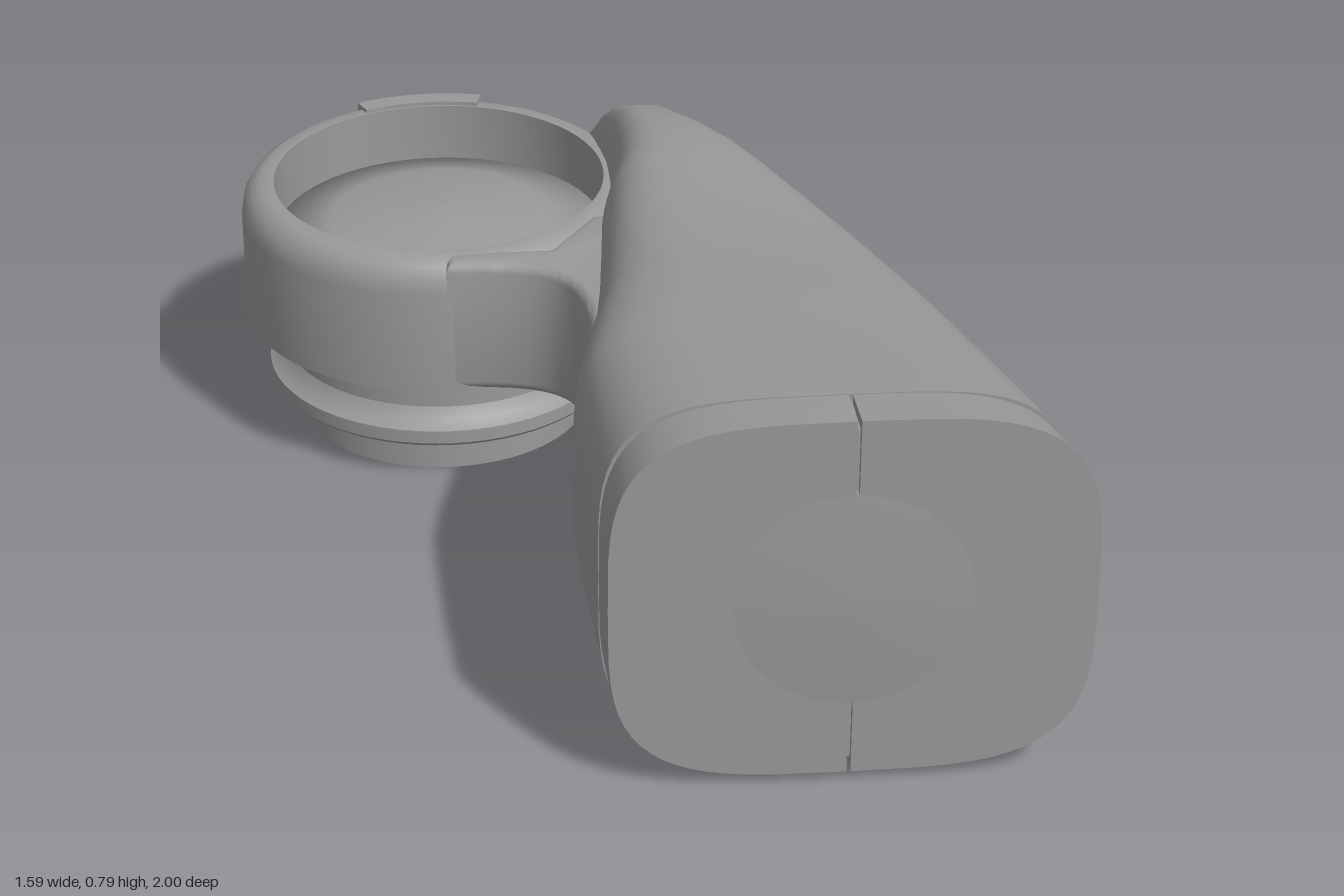
import * as THREE from 'three';
import { toCreasedNormals } from 'three/addons/utils/BufferGeometryUtils.js';

const SIDES = 64;
const CX = -0.367, CZ = -0.568; // socket axis

// Arm stations: z, left x, right x, bottom y, top y
const STATIONS = [
  [-0.78, -0.04, 0.02, 0.27, 0.54],
  [-0.75, -0.03, 0.05, 0.225, 0.575],
  [-0.72, -0.02, 0.077, 0.185, 0.615],
  [-0.67, -0.01, 0.12, 0.145, 0.655],
  [-0.60, 0.0, 0.178, 0.12, 0.685],
  [-0.50, 0.0, 0.25, 0.105, 0.70],
  [-0.40, -0.01, 0.31, 0.10, 0.71],
  [-0.30, -0.035, 0.365, 0.095, 0.71],
  [-0.15, -0.05, 0.438, 0.09, 0.705],
  [0.0, -0.065, 0.503, 0.095, 0.705],
  [0.15, -0.085, 0.558, 0.09, 0.71],
  [0.30, -0.12, 0.607, 0.075, 0.725],
  [0.42, -0.145, 0.643, 0.065, 0.735],
  [0.50, -0.155, 0.665, 0.06, 0.74],
  [0.70, -0.146, 0.719, 0.045, 0.757],
  [0.876, -0.136, 0.761, 0.03, 0.773],
];
const CAP = [
  [0.881, -0.135, 0.762, 0.03, 0.774],
  [0.96, -0.131, 0.78, 0.024, 0.781],
  [1.0, -0.128, 0.79, 0.02, 0.785],
];

// Rounded-square ring, optionally limited in x
function ring([z, xl, xr, yb, yt], power, min = -9, max = 9) {
  const pts = [];
  const bend = (v) => Math.sign(v) * Math.pow(Math.abs(v), 2 / power);
  for (let j = 0; j < SIDES; j++) {
    const a = (j / SIDES) * Math.PI * 2;
    const x = (xl + xr) / 2 + ((xr - xl) / 2) * bend(Math.cos(a));
    const y = (yb + yt) / 2 + ((yt - yb) / 2) * bend(Math.sin(a));
    pts.push([Math.min(max, Math.max(min, x)), y, z]);
  }
  return pts;
}

// Skin over rings ordered from back to front, closed at both ends
function loft(rings) {
  const pos = rings.flat(2), idx = [];
  const n = SIDES, last = (rings.length - 1) * n;
  for (const r of [rings[0], rings[rings.length - 1]]) {
    for (let k = 0; k < 3; k++) pos.push(r.reduce((s, p) => s + p[k], 0) / n);
  }
  const c0 = rings.length * n, c1 = c0 + 1;
  for (let j = 0; j < n; j++) {
    const k = (j + 1) % n;
    for (let i = 0; i < rings.length - 1; i++) {
      const a = i * n + j, b = i * n + k;
      idx.push(a, b, b + n, a, b + n, a + n);
    }
    idx.push(c0, k, j, c1, last + j, last + k);
  }
  const g = new THREE.BufferGeometry();
  g.setAttribute('position', new THREE.Float32BufferAttribute(pos, 3));
  g.setIndex(idx);
  return toCreasedNormals(g, 0.7);
}

const smoothLathe = (profile) =>
  new THREE.LatheGeometry(profile.map(([x, y]) => new THREE.Vector2(x, y)), 64);
const lathe = (profile) => toCreasedNormals(smoothLathe(profile), 0.6);

// Plan outline (x, -z) raised from y0 to y1
function slab(shape, y0, y1, bevel = 0) {
  const g = new THREE.ExtrudeGeometry(shape, {
    depth: y1 - y0 - 2 * bevel, curveSegments: 40, bevelEnabled: bevel > 0,
    bevelThickness: bevel, bevelSize: bevel, bevelOffset: -bevel, bevelSegments: 3,
  });
  g.rotateX(-Math.PI / 2).translate(0, y0 + bevel, 0);
  return toCreasedNormals(g, 0.6);
}

export function createModel() {
  const group = new THREE.Group();
  const grey = new THREE.MeshStandardMaterial({ color: 0x999999 });
  grey.name = 'grey';
  const add = (name, geometry, x = 0, y = 0, z = 0) => {
    const mesh = new THREE.Mesh(geometry, grey);
    mesh.name = name;
    mesh.position.set(x, y, z);
    group.add(mesh);
  };
  const rad = THREE.MathUtils.degToRad;

  // Curved arm
  add('arm', loft(STATIONS.map((s, i) => ring(s, Math.min(4, 2.8 + i * 0.12)))));

  // End cap in two halves around a recessed core
  const seam = 0.33, gap = 0.004;
  add('leftCapHalf', loft(CAP.map((s) => ring(s, 3.7, seam + gap, 9))));
  add('rightCapHalf', loft(CAP.map((s) => ring(s, 3.7, -9, seam - gap))));
  add('capCore', loft([
    ring([0.84, -0.115, 0.735, 0.05, 0.755], 3.7),
    ring([0.985, -0.11, 0.765, 0.045, 0.76], 3.7),
  ]));

  // Round button on the end cap, softly shaded
  const button = new THREE.LatheGeometry(
    [[0.228, 0], [0.228, 0.012], [0, 0.016]].map(([x, y]) => new THREE.Vector2(x, y)), 20);
  button.rotateX(Math.PI / 2);
  add('button', button, seam, 0.403, 0.988);

  // Socket ring with a rounded rim
  add('socket', lathe([[0.34, 0.25], [0.432, 0.25], [0.432, 0.48], [0.427, 0.51],
    [0.412, 0.535], [0.388, 0.55], [0.36, 0.55], [0.36, 0.4]]), CX, 0, CZ);

  // Low domed plug set down inside the socket
  add('plug', smoothLathe([[0.36, 0.25], [0.36, 0.42], [0.24, 0.45], [0.12, 0.468], [0, 0.475]]),
    CX, 0, CZ);

  // Short raised lip at the back of the rim
  const lip = new THREE.Shape();
  lip.absarc(CX, -CZ, 0.41, rad(74), rad(114), false);
  lip.absarc(CX, -CZ, 0.365, rad(114), rad(74), true);
  add('rimLip', slab(lip, 0.53, 0.558));

  // Fillet joining socket and arm
  const web = new THREE.Shape();
  web.moveTo(-0.37, 0.137);
  web.bezierCurveTo(-0.15, 0.13, -0.09, 0.09, -0.088, -0.14);
  web.lineTo(0.1, -0.14);
  web.lineTo(0.1, 0.35);
  web.lineTo(-0.05, 0.35);
  web.lineTo(-0.15, 0.2);
  web.lineTo(-0.37, 0.2);
  add('fillet', slab(web, 0.25, 0.55, 0.02));

  // Neck and flange below the socket
  add('neck', lathe([[0.347, 0.1], [0.347, 0.26]]), CX, 0, CZ);
  add('flange', lathe([[0, 0.087], [0.378, 0.087], [0.385, 0.095], [0.385, 0.125],
    [0.36, 0.14], [0.347, 0.165]]), CX, 0, CZ);

  // Foot: a disc with one side cut flat
  const foot = new THREE.Shape();
  foot.absarc(CX, -CZ, 0.322, rad(199), rad(457), false);
  foot.closePath();
  add('foot', slab(foot, 0, 0.1));

  return group;
}
